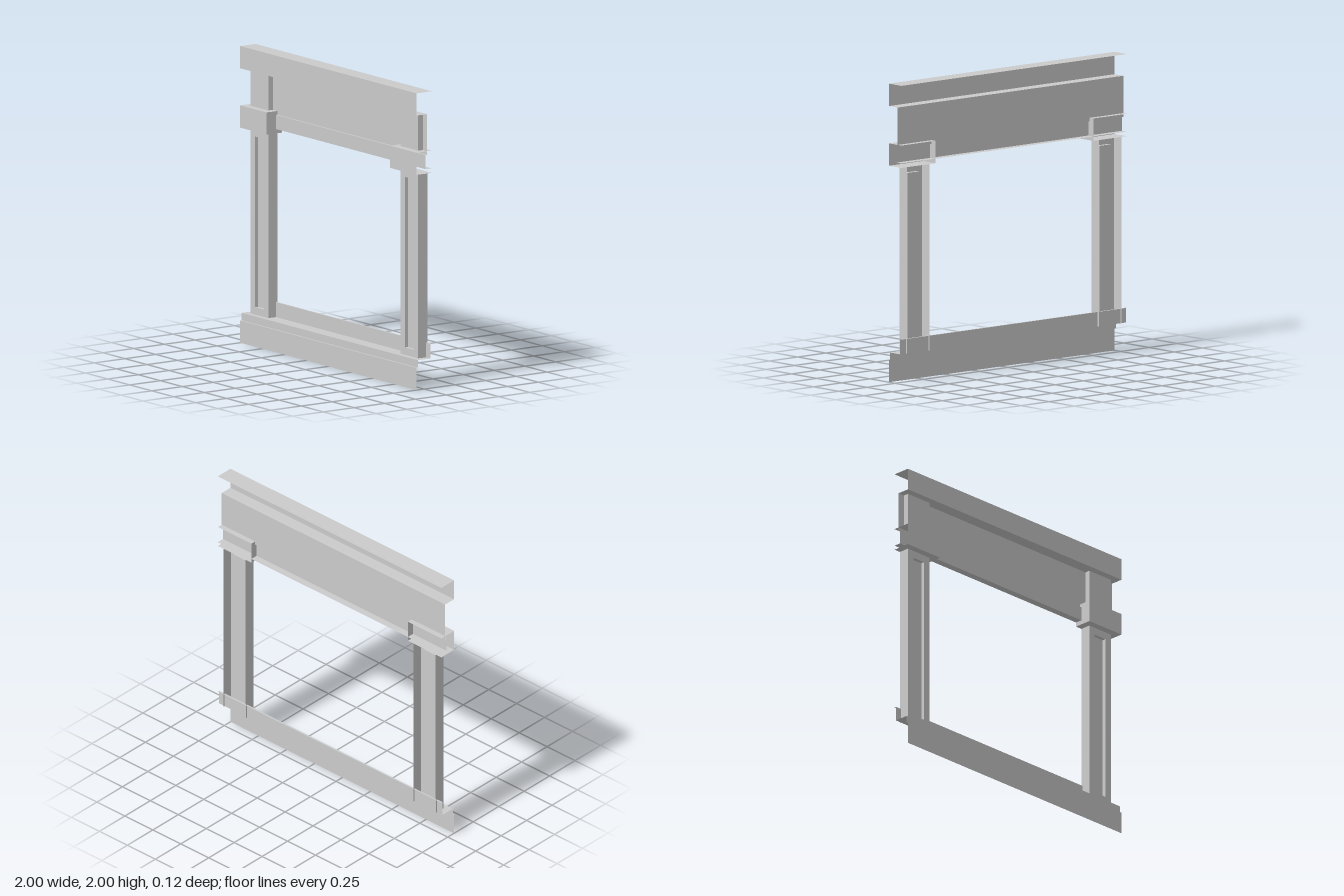
import * as THREE from 'three';

const material = new THREE.MeshStandardMaterial({ color: 0xcccccc, side: THREE.DoubleSide });
const BACK = -0.0625, FRONT = 0.0625, FACE = 0.0125, WALL = -0.025;

// Sheet made by sweeping a polyline of [x, y, z] points along a straight vector
function sweep(name, points, dir) {
  const pos = [];
  for (let i = 0; i < points.length - 1; i++) {
    const a = points[i], b = points[i + 1];
    const c = b.map((v, k) => v + dir[k]), d = a.map((v, k) => v + dir[k]);
    pos.push(...a, ...b, ...c, ...a, ...c, ...d);
  }
  const geo = new THREE.BufferGeometry();
  geo.setAttribute('position', new THREE.Float32BufferAttribute(pos, 3));
  geo.computeVertexNormals();
  return named(name, geo);
}

function named(name, geo) {
  const mesh = new THREE.Mesh(geo, material);
  mesh.name = name;
  return mesh;
}

// Moulding with a [z, y] profile running along x
const moulding = (name, profile, x0, x1) =>
  sweep(name, profile.map(([z, y]) => [x0, y, z]), [x1 - x0, 0, 0]);

// Upright with an [x, z] plan rising from y0 to y1
const upright = (name, plan, y0, y1) =>
  sweep(name, plan.map(([x, z]) => [x, y0, z]), [0, y1 - y0, 0]);

function rectangle(Type, x, y0, y1) {
  return new Type([[-x, y0], [x, y0], [x, y1], [-x, y1]].map(p => new THREE.Vector2(...p)));
}

// Pilaster with a sunken panel, the block above it and its capital
function createPilaster(side) {
  const group = new THREE.Group();
  group.name = side > 0 ? 'leftPilaster' : 'rightPilaster';
  const w = 0.1, r = 0.05, y0 = 0.2, y1 = 1.45, p0 = 0.25, p1 = 1.4, depth = 0.025;

  const frame = rectangle(THREE.Shape, w, y0, y1);
  frame.holes.push(rectangle(THREE.Path, r, p0, p1));
  const face = named('pilasterFace', new THREE.ShapeGeometry(frame));
  face.position.z = FACE;
  const panel = named('sunkenPanel', new THREE.PlaneGeometry(2 * r, p1 - p0));
  panel.position.set(0, (p0 + p1) / 2, FACE - depth);

  group.add(
    face, panel,
    sweep('panelReveal',
      [[-r, p1, FACE], [-r, p0, FACE], [r, p0, FACE], [r, p1, FACE], [-r, p1, FACE]], [0, 0, -depth]),
    upright('pilasterInnerSide', [[-w, BACK], [-w, FACE]], y0, y1),
    upright('pilasterOuterSide', [[w, FACE], [w, BACK]], y0, y1),
    upright('friezeBlock', [[-w, WALL], [-w, FACE], [w, FACE], [w, WALL]], 1.6, 1.85),
    moulding('capital', [[BACK, 1.6], [FRONT, 1.6], [FRONT, 1.45], [BACK, 1.45]], -0.15, 0.15),
  );
  // The capital is closed only towards the opening
  const end = side > 0 ? [[-0.15, BACK], [-0.15, FRONT]] : [[0.15, FRONT], [0.15, BACK]];
  group.add(upright('capitalInnerSide', end, 1.45, 1.6));
  group.position.x = side * 0.85;
  return group;
}

export function createModel() {
  const model = new THREE.Group();
  model.name = 'shopfrontSurround';

  // Cornice, frieze and the lintel under it
  model.add(moulding('entablature', [
    [BACK, 2], [FRONT, 2], [FRONT, 1.85], [WALL, 1.85],
    [WALL, 1.575], [-0.0125, 1.575], [-0.0125, 1.48], [BACK, 1.48],
  ], -1, 1));

  // Low rear kerb, sill ledge and plinth
  model.add(moulding('plinth', [
    [BACK, 0.3], [-0.05, 0.3], [-0.05, 0.2], [0.05, 0.2],
    [0.05, 0.15], [FRONT, 0.15], [FRONT, 0],
  ], -1, 1));

  for (const side of [-1, 1]) model.add(createPilaster(side));
  return model;
}
